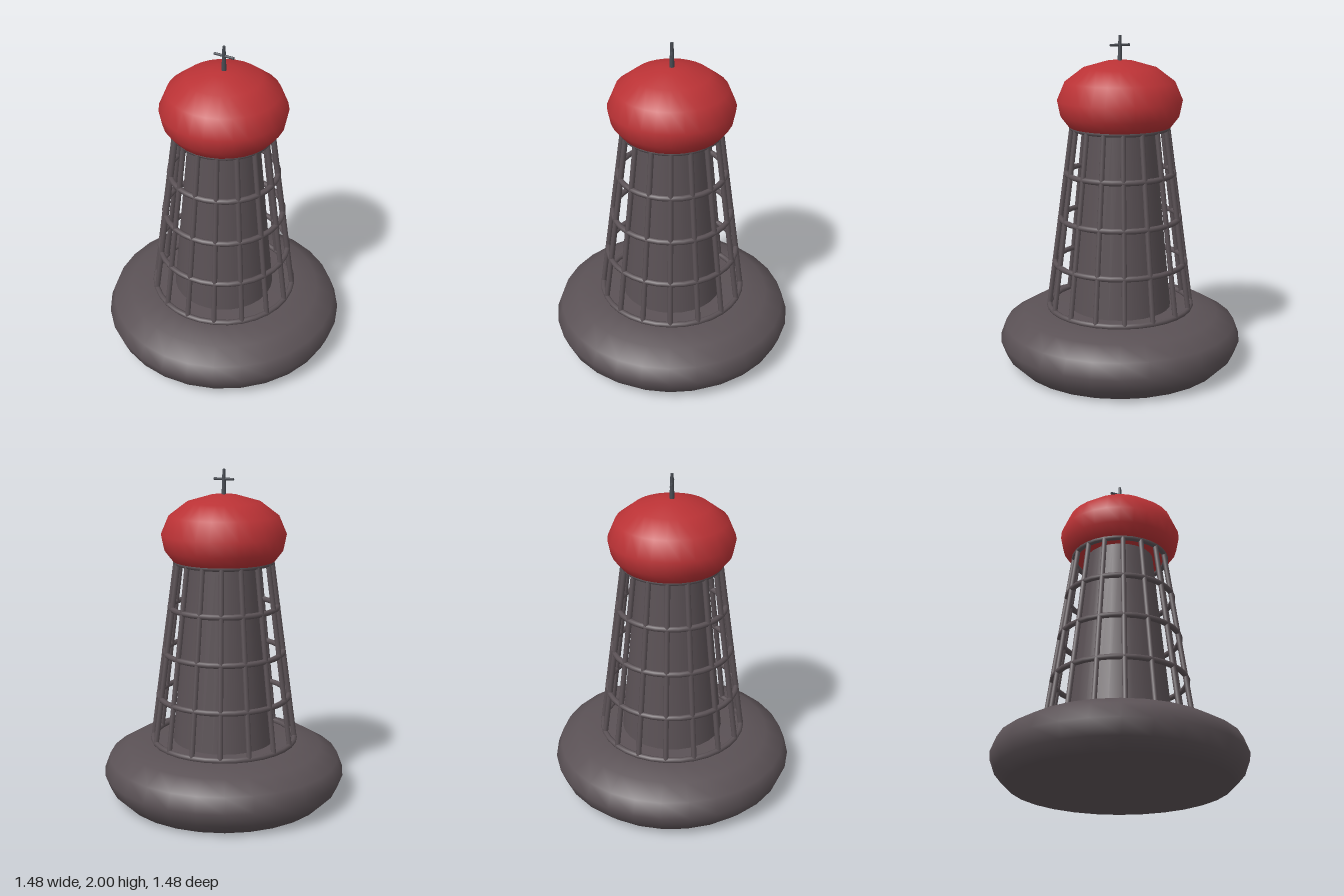
import * as THREE from 'three';

export function createModel() {
  const model = new THREE.Group();
  model.name = 'buoy';
  const iron = new THREE.MeshStandardMaterial({ name: 'dark iron', color: 0x5a5155 });
  const red = new THREE.MeshStandardMaterial({ name: 'signal red', color: 0xba3235 });
  const steel = new THREE.MeshStandardMaterial({ name: 'blue steel', color: 0x474b52 });

  const add = (name, geometry, material, parent = model) => {
    const mesh = new THREE.Mesh(geometry, material);
    mesh.name = name;
    parent.add(mesh);
    return mesh;
  };
  const lathe = (points) =>
    new THREE.LatheGeometry(points.map(([r, y]) => new THREE.Vector2(r, y)), 28);
  // Round bar between two points
  const bar = (name, a, b, radius, material, parent) => {
    const dir = b.clone().sub(a);
    const mesh = add(name, new THREE.CylinderGeometry(radius, radius, dir.length(), 8), material, parent);
    mesh.position.copy(a).add(b).multiplyScalar(0.5);
    mesh.quaternion.setFromUnitVectors(new THREE.Vector3(0, 1, 0), dir.normalize());
    return mesh;
  };

  // Float: flattened, rounded drum
  add('float', lathe([[0, 0], [0.64, 0.005], [0.71, 0.075], [0.742, 0.16], [0.708, 0.25],
    [0.6, 0.315], [0.45, 0.35], [0, 0.355]]), iron);

  // Tapered central tower
  const tower = add('tower', new THREE.CylinderGeometry(0.205, 0.312, 1.12, 28), iron);
  tower.position.y = 0.91;

  // Cage of sloping bars and hoops
  const cage = new THREE.Group();
  cage.name = 'cage';
  model.add(cage);
  const low = 0.36, high = 1.46;
  const cageRadius = (y) => THREE.MathUtils.mapLinear(y, low, high, 0.437, 0.286);
  const onCage = (angle, y) =>
    new THREE.Vector3(Math.sin(angle) * cageRadius(y), y, Math.cos(angle) * cageRadius(y));
  for (let i = 0; i < 16; i++) {
    const angle = (i / 16) * Math.PI * 2;
    bar('cageBar', onCage(angle, low), onCage(angle, high), 0.016, iron, cage);
  }
  for (let i = 0; i < 5; i++) {
    const y = THREE.MathUtils.lerp(low, high, i / 4);
    const hoop = add('cageHoop', new THREE.TorusGeometry(cageRadius(y), 0.017, 8, 32), iron, cage);
    hoop.rotation.x = Math.PI / 2;
    hoop.position.y = y;
  }

  // Red cap
  add('cap', lathe([[0, 1.462], [0.305, 1.465], [0.355, 1.53], [0.373, 1.62], [0.326, 1.73],
    [0.22, 1.81], [0.08, 1.85], [0, 1.855]]), red);

  // Cross-shaped topmark
  const topmark = new THREE.Group();
  topmark.name = 'topmark';
  model.add(topmark);
  const post = add('topmarkPost', new THREE.CylinderGeometry(0.009, 0.015, 0.16, 8), steel, topmark);
  post.position.y = 1.92;
  bar('topmarkArm', new THREE.Vector3(-0.063, 1.942, 0), new THREE.Vector3(0.063, 1.942, 0), 0.008, steel, topmark);

  return model;
}
